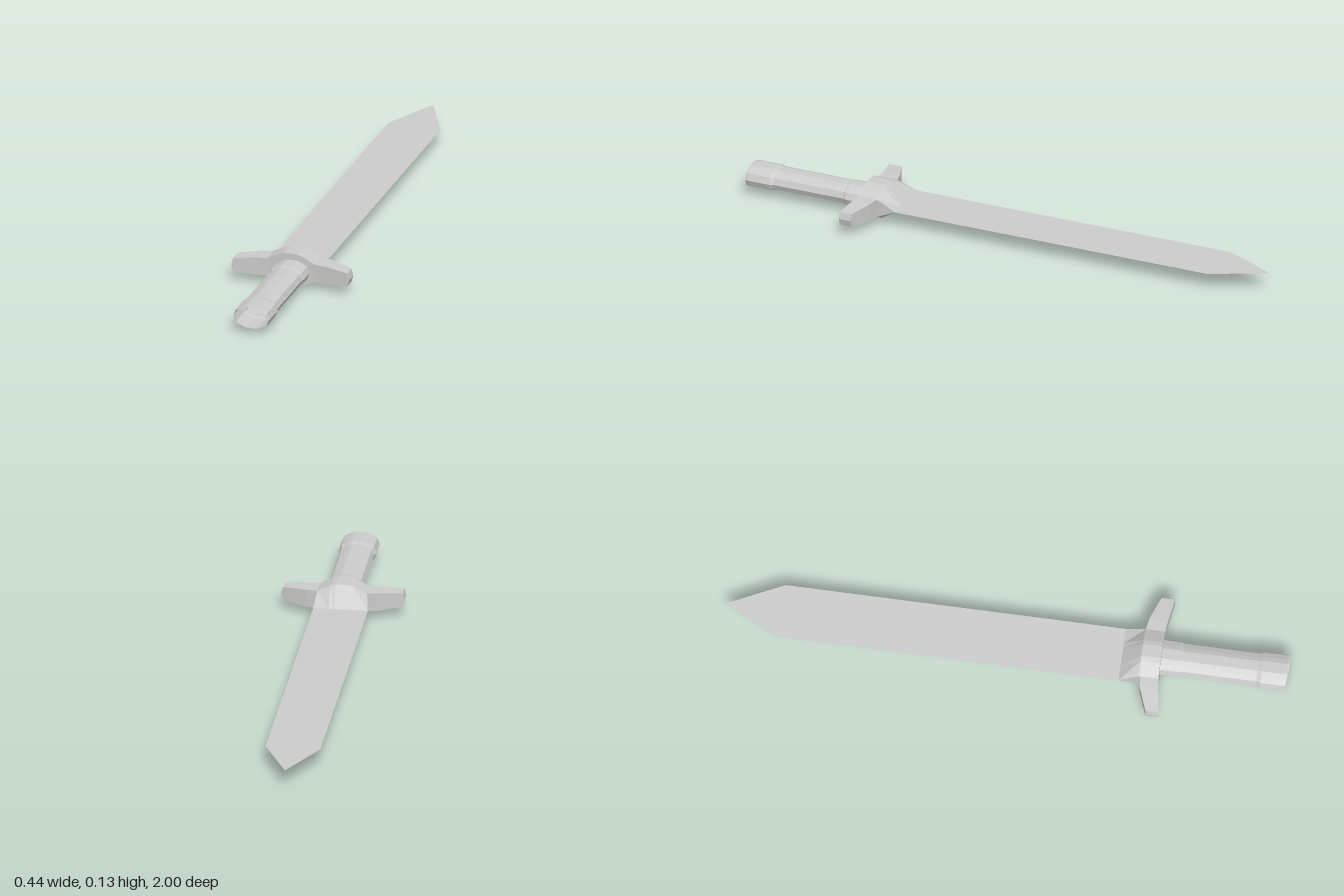
import * as THREE from 'three';

const MID = 0.063; // height of the blade plane
const mat = () => new THREE.MeshStandardMaterial({ color: 0xcccccc, flatShading: true, side: THREE.DoubleSide });

// Skin a list of closed rings, each an array of [x, y, z]
function loft(rings) {
  const n = rings[0].length, index = [];
  for (let r = 0; r < rings.length - 1; r++) {
    for (let i = 0; i < n; i++) {
      const a = r * n + i, b = r * n + (i + 1) % n;
      index.push(a, b, b + n, a, b + n, a + n);
    }
  }
  const geo = new THREE.BufferGeometry();
  geo.setAttribute('position', new THREE.Float32BufferAttribute(rings.flat(2), 3));
  geo.setIndex(index);
  geo.computeVertexNormals();
  return geo;
}

// Mirror an upper contour (right to left) below the blade plane to close it
const closed = (upper, skipEnds) => [
  ...upper,
  ...(skipEnds ? upper.slice(1, -1) : upper).slice().reverse().map(([x, y]) => [x, -y]),
];

// Ten-sided grip section and the raised middle of the guard, around the blade plane
const gripSection = closed([[0.068, 0], [0.058, 0.024], [0.038, 0.034], [0.02, 0.041], [-0.02, 0.041],
  [-0.038, 0.034], [-0.058, 0.024], [-0.068, 0]], true);
const bodySection = closed([[0.089, 0.034], [0.04, 0.058], [0.022, 0.063], [-0.022, 0.063], [-0.04, 0.058], [-0.089, 0.034]]);

const gripRing = (s, z) => gripSection.map(([x, y]) => [x * s + 0.002, MID + y * s, z]);

export function createModel() {
  const model = new THREE.Group();
  const add = (name, geo, parent = model) => {
    const mesh = new THREE.Mesh(geo, mat());
    mesh.name = name;
    parent.add(mesh);
    return mesh;
  };

  // Blade: one thin flat sheet with a pointed end
  const blade = new THREE.Shape([[-0.105, -0.42], [0.09, -0.42], [0.09, 0.8], [-0.007, 1], [-0.105, 0.8]]
    .map(p => new THREE.Vector2(...p)));
  add('blade', new THREE.ShapeGeometry(blade).rotateX(-Math.PI / 2).translate(0, MID, 0));

  // Hollow handle, open at the pommel end
  add('grip', loft([gripRing(0.91, 0.55), gripRing(0.91, 0.9)]));
  add('collar', loft([gripRing(0.97, 0.55), gripRing(0.97, 0.615), gripRing(0.91, 0.625)]));
  add('pommel', loft([gripRing(0.91, 0.895), gripRing(1, 0.91), gripRing(1, 0.99), gripRing(0.97, 1)]));

  // Guard: raised middle with a hole for the handle, and two swept arms
  const guard = new THREE.Group();
  guard.name = 'guard';
  model.add(guard);
  const vec = (pts, s = 1) => pts.map(([x, y]) => new THREE.Vector2(x * s, y * s));
  const shape = new THREE.Shape(vec(bodySection));
  shape.holes.push(new THREE.Path(vec(gripSection, 0.91)));
  add('guardBody', new THREE.ExtrudeGeometry(shape, { depth: 0.069, bevelEnabled: false })
    .translate(-0.003, MID, 0.483), guard);

  // Arm sections: x, half height, back z, front z
  const arm = [[0.086, 0.034, 0.483, 0.552], [0.13, 0.033, 0.491, 0.557], [0.213, 0.025, 0.522, 0.57], [0.22, 0, 0.525, 0.569]];
  for (const side of [1, -1]) {
    add(side > 0 ? 'leftArm' : 'rightArm', loft(arm.map(([x, h, back, front]) =>
      [[back, -h], [front, -h], [front, h], [back, h]].map(([z, y]) => [side * x, MID + y, z]))), guard);
  }

  // Wedge narrowing from the guard to the blade
  add('bladeSocket', loft([
    bodySection.map(([x, y]) => [x - 0.003, MID + y, 0.483]),
    bodySection.map(([x]) => [x * 1.09 - 0.007, MID, 0.412]),
  ]));

  return model;
}
